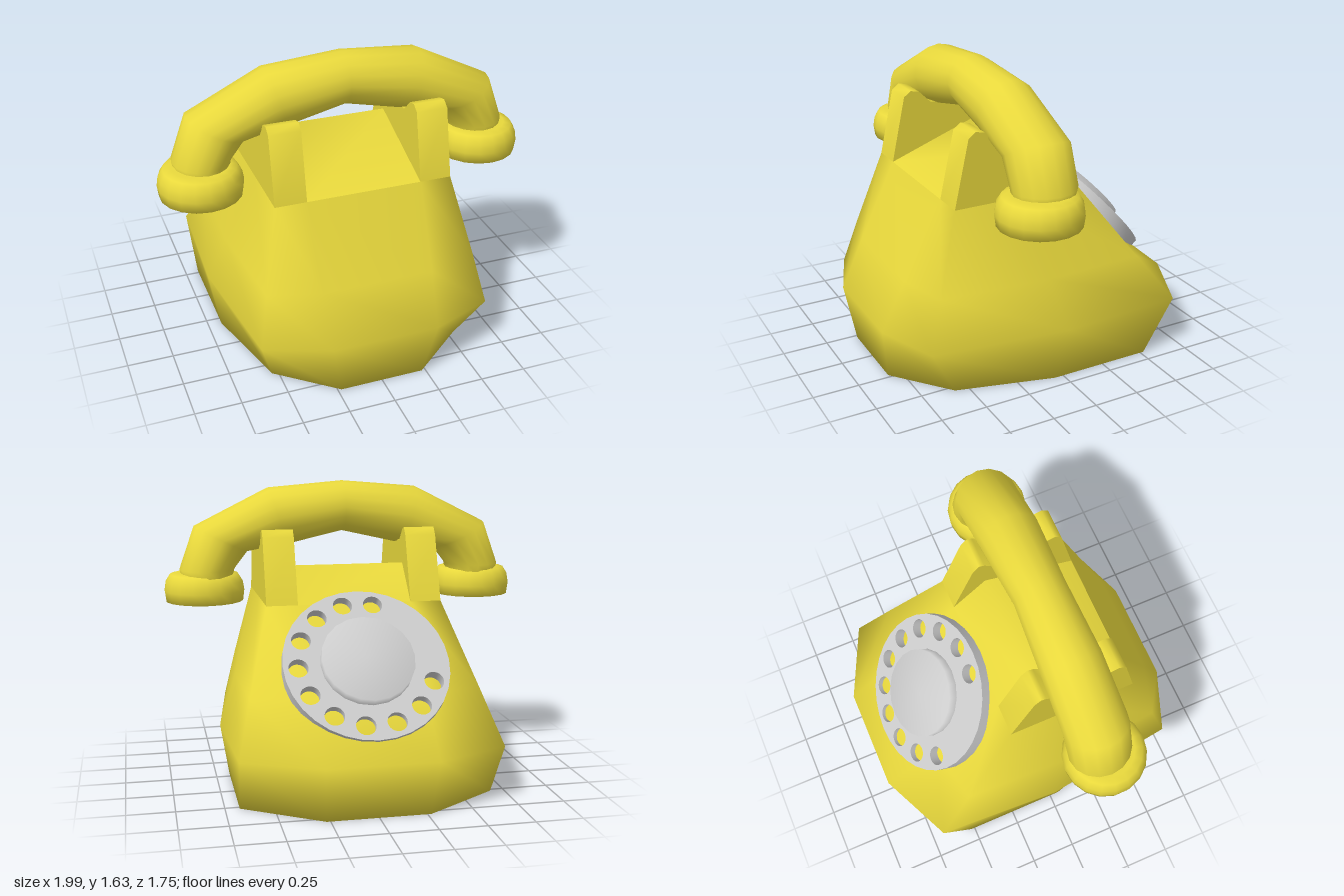
import * as THREE from 'three';
import { toCreasedNormals } from 'three/addons/utils/BufferGeometryUtils.js';

const yellow = new THREE.MeshStandardMaterial({ color: 0xe8d83c, side: THREE.DoubleSide });
const grey = new THREE.MeshStandardMaterial({ color: 0xcccccc, side: THREE.DoubleSide });

function add(parent, name, geometry, material) {
  const mesh = new THREE.Mesh(geometry, material);
  mesh.name = name;
  parent.add(mesh);
  return mesh;
}

// Skin a stack of closed rings of [x, y, z] points
function loft(rings) {
  const n = rings[0].length, index = [];
  for (let r = 0; r < rings.length - 1; r++) {
    for (let i = 0; i < n; i++) {
      const a = r * n + i, b = r * n + (i + 1) % n;
      index.push(a, b, a + n, b, b + n, a + n);
    }
  }
  const g = new THREE.BufferGeometry();
  g.setAttribute('position', new THREE.Float32BufferAttribute(rings.flat(2), 3));
  g.setIndex(index);
  g.computeVertexNormals();
  return g;
}

// Slab across x with a [z, y] side profile
function slab(profile, centreX, width) {
  const shape = new THREE.Shape(profile.map(([z, y]) => new THREE.Vector2(z, y)));
  const g = new THREE.ExtrudeGeometry(shape, { depth: width, bevelEnabled: false });
  g.rotateY(-Math.PI / 2);
  g.translate(centreX + width / 2, 0, 0);
  return toCreasedNormals(g, 1.2);
}

// Housing: each level is half a ring of [x, z], mirrored to the other side
function bodyGeometry() {
  const base = [[0.23, 0.825], [0.535, 0.575], [0.675, 0.05], [0.675, -0.52], [0.27, -0.79]];
  const levels = [
    [0, base.map(() => [0, 0])], // closes the underside
    [0, base],
    [0.3, [[0.29, 0.87], [0.63, 0.74], [0.725, 0], [0.69, -0.69], [0.29, -0.875]]],
    [0.57, [[0.3, 0.74], [0.575, 0.66], [0.63, 0.07], [0.61, -0.49], [0.3, -0.56]]],
    [0.99, [[0.31, 0.53], [0.48, 0.53], [0.48, 0.18], [0.48, -0.18], [0.31, -0.18]]],
  ];
  return loft(levels.map(([y, half]) => [
    ...half.map(([x, z]) => [x, y, z]),
    ...half.slice().reverse().map(([x, z]) => [-x, y, z]),
  ]));
}

// Handle: oval sections between an upper and a lower edge point
function handleGeometry() {
  const half = [
    // upper x, y, lower x, y, half width
    [0, 1.63, 0, 1.35, 0.145],
    [0.42, 1.595, 0.33, 1.275, 0.165],
    [0.83, 1.39, 0.535, 1.245, 0.172],
    [0.915, 1.15, 0.61, 1.15, 0.17],
    [0.9, 1.1, 0.62, 1.1, 0.16],
  ];
  const mirrored = half.slice(1).reverse().map(([a, b, c, d, w]) => [-a, b, -c, d, w]);
  const rings = [...mirrored, ...half].map(([ux, uy, lx, ly, w]) => {
    const ring = [];
    for (let i = 0; i < 16; i++) {
      const a = (i / 16) * Math.PI * 2;
      const t = Math.cos(a) / 2;
      ring.push([
        (ux + lx) / 2 + (ux - lx) * t,
        (uy + ly) / 2 + (uy - ly) * t,
        0.187 + w * Math.sin(a),
      ]);
    }
    return ring;
  });
  return loft(rings);
}

function buildDial() {
  const dial = new THREE.Group();
  dial.name = 'dial';

  // Finger wheel with a run of holes and a gap
  const shape = new THREE.Shape();
  shape.absarc(0, 0, 0.44, 0, Math.PI * 2);
  for (let i = 0; i < 11; i++) {
    const a = THREE.MathUtils.degToRad(77 + i * 26.3);
    const hole = new THREE.Path();
    hole.absarc(0.36 * Math.cos(a), 0.36 * Math.sin(a), 0.052, 0, Math.PI * 2, true);
    shape.holes.push(hole);
  }
  const wheel = new THREE.ExtrudeGeometry(shape, { depth: 0.07, bevelEnabled: false, curveSegments: 16 });
  wheel.translate(0, 0, -0.07);
  add(dial, 'fingerWheel', toCreasedNormals(wheel, 0.7), grey);

  // Raised hub
  const hub = new THREE.LatheGeometry(
    [[0.245, -0.03], [0.245, 0.055], [0, 0.057]].map(([r, y]) => new THREE.Vector2(r, y)), 20);
  hub.rotateX(Math.PI / 2);
  add(dial, 'dialHub', hub, grey);

  // Lay it on the sloping face
  dial.position.set(0, 0.73, -0.488);
  dial.lookAt(0, 0.73 + 0.667, -0.488 - 0.746);
  return dial;
}

export function createModel() {
  const model = new THREE.Group();
  model.name = 'telephone';

  add(model, 'body', bodyGeometry(), yellow);
  add(model, 'saddle', slab([[0.53, 0.99], [0.01, 1.18], [-0.18, 0.99]], 0, 0.62), yellow);

  // Cradle prongs, shallowly notched for the handle
  const prong = [
    [0.53, 0.99], [0.45, 1.35], [0.41, 1.38], [0.36, 1.37], [0.29, 1.3],
    [0.08, 1.3], [0.01, 1.37], [-0.02, 1.38], [-0.055, 1.34], [-0.18, 0.99],
  ];

  // Ear and mouth cups: rounded shell with a hollow underside
  const cup = [
    [0, 1.04], [0.16, 1.03], [0.18, 0.97], [0.215, 0.97], [0.223, 1.03],
    [0.215, 1.08], [0.19, 1.12], [0.15, 1.13], [0, 1.13],
  ].map(([r, y]) => new THREE.Vector2(r, y));
  const cupGeometry = new THREE.LatheGeometry(cup, 18);

  const handset = new THREE.Group();
  handset.name = 'handset';
  add(handset, 'handle', handleGeometry(), yellow);

  for (const [side, s] of [['left', 1], ['right', -1]]) {
    add(model, side + 'Prong', slab(prong, s * 0.395, 0.17), yellow);
    add(handset, side + 'Cup', cupGeometry, yellow).position.set(s * 0.777, 0, 0.218);
  }
  model.add(handset, buildDial());
  return model;
}
